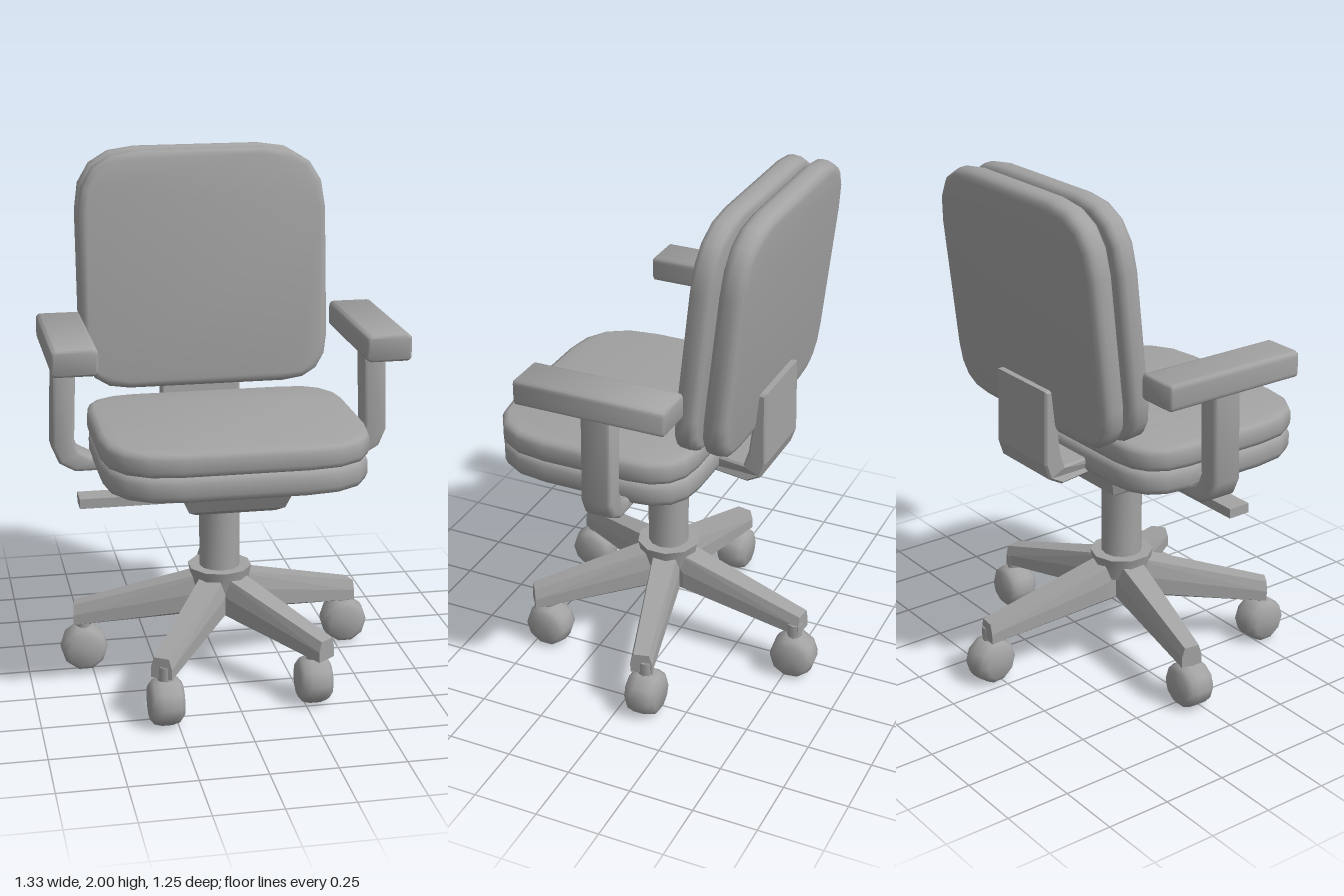
import * as THREE from 'three';
import { mergeVertices, toCreasedNormals } from 'three/addons/utils/BufferGeometryUtils.js';
import { ConvexGeometry } from 'three/addons/geometries/ConvexGeometry.js';

const grey = new THREE.MeshStandardMaterial({ color: 0xa3a3a3 });
grey.name = 'grey';

function smooth(geo, angle = 0.9) {
  geo.deleteAttribute('uv');
  geo.deleteAttribute('normal');
  return toCreasedNormals(mergeVertices(geo, 1e-4), angle);
}

function add(parent, name, geo, x = 0, y = 0, z = 0) {
  const mesh = new THREE.Mesh(geo, grey);
  mesh.name = name;
  mesh.position.set(x, y, z);
  parent.add(mesh);
  return mesh;
}

// Extrusion centred on its depth, bevel kept inside the outline
function slab(shape, depth, bevel, bevelSegments = 2) {
  const geo = new THREE.ExtrudeGeometry(shape, {
    depth: depth - 2 * bevel, bevelThickness: bevel, bevelSize: bevel,
    bevelOffset: -bevel, bevelSegments, curveSegments: 4,
  });
  geo.translate(0, 0, bevel - depth / 2);
  return smooth(geo);
}

// Rounded rectangle with different radii at the top and the bottom
function roundedShape(w, h, top, bottom) {
  const x = w / 2, y = h / 2, s = new THREE.Shape();
  s.moveTo(-x + bottom, -y);
  s.lineTo(x - bottom, -y);
  s.quadraticCurveTo(x, -y, x, -y + bottom);
  s.lineTo(x, y - top);
  s.quadraticCurveTo(x, y, x - top, y);
  s.lineTo(-x + top, y);
  s.quadraticCurveTo(-x, y, -x, y - top);
  s.lineTo(-x, -y + bottom);
  s.quadraticCurveTo(-x, -y, -x + bottom, -y);
  return s;
}

// Convex solid through rectangles [y, halfWidth, zMin, zMax]
function stacked(levels) {
  const pts = [];
  for (const [y, x, z0, z1] of levels)
    for (const sx of [-x, x]) for (const z of [z0, z1]) pts.push(new THREE.Vector3(sx, y, z));
  return new ConvexGeometry(pts);
}

// Leg from the hub centre to (x, z), narrowing and dropping outwards
function legGeometry(x, z, cz) {
  const dir = new THREE.Vector3(x, 0, z - cz).normalize();
  const side = new THREE.Vector3(dir.z, 0, -dir.x);
  const length = Math.hypot(x, z - cz);
  const pts = [];
  for (const [r, low, high, wLow, wHigh] of [
    [0, 0.25, 0.41, 0.05, 0.05], [0.1, 0.25, 0.39, 0.06, 0.045], [length, 0.185, 0.265, 0.042, 0.03],
  ]) {
    for (const s of [-1, 1]) {
      pts.push(dir.clone().multiplyScalar(r).addScaledVector(side, s * wLow).setY(low));
      pts.push(dir.clone().multiplyScalar(r).addScaledVector(side, s * wLow).setY((low + high) / 2));
      pts.push(dir.clone().multiplyScalar(r).addScaledVector(side, s * wHigh).setY(high));
    }
  }
  return new ConvexGeometry(pts).translate(0, 0, cz);
}

export function createModel() {
  const chair = new THREE.Group();
  chair.name = 'officeChair';
  const cz = 0.055; // centre of the column

  // Seat: cushion on a matching pan
  const seatShape = roundedShape(1, 0.815, 0.2, 0.27);
  const cushion = add(chair, 'seatCushion', slab(seatShape, 0.095, 0.025), 0, 1.013, 0.197);
  const pan = add(chair, 'seatPan', slab(roundedShape(0.99, 0.82, 0.2, 0.27), 0.105, 0.03), 0, 0.923, 0.195);
  cushion.rotation.x = pan.rotation.x = -Math.PI / 2;

  // Backrest: front cushion and rear shell, leaning back
  const backShape = roundedShape(0.97, 0.917, 0.24, 0.18);
  const front = add(chair, 'backCushion', slab(backShape, 0.085, 0.025), -0.005, 1.54, -0.258);
  const rear = add(chair, 'backShell', slab(backShape, 0.095, 0.035, 3), -0.005, 1.54, -0.37);
  front.rotation.x = rear.rotation.x = -0.108;

  // Bent bracket from under the seat up to the back shell
  const bend = new THREE.Shape([
    [0, 0.86], [0.34, 0.87], [0.395, 0.9], [0.415, 0.96], [0.41, 1.25],
    [0.375, 1.25], [0.345, 1.0], [0.325, 0.94], [0, 0.92],
  ].map(([x, y]) => new THREE.Vector2(x, y)));
  const bracket = slab(bend, 0.32, 0.008, 1);
  bracket.rotateY(Math.PI / 2);
  const p = bracket.attributes.position;
  for (let i = 0; i < p.count; i++) // narrows towards the mechanism
    p.setX(i, p.getX(i) * Math.min(1, 0.5 - p.getZ(i) * 1.5));
  bracket.computeVertexNormals();
  add(chair, 'backBracket', bracket);

  // Arms
  for (const s of [1, -1]) {
    const arm = new THREE.Group();
    arm.name = s > 0 ? 'leftArm' : 'rightArm';
    const post = new THREE.Shape([
      [0, 0.85], [0.56, 0.85], [0.62, 0.885], [0.648, 0.95], [0.637, 1.3],
      [0.55, 1.3], [0.562, 0.97], [0.545, 0.93], [0.5, 0.905], [0, 0.905],
    ].map(([x, y]) => new THREE.Vector2(x * s, y)));
    add(arm, 'armPost', slab(post, 0.12, 0.015), 0, 0, 0.045);
    const pad = slab(roundedShape(0.17, 0.1, 0.02, 0.02), 0.59, 0.008, 1);
    add(arm, 'armPad', pad, s * 0.58, 1.34, 0.06);
    chair.add(arm);
  }

  // Tilt mechanism and its lever
  add(chair, 'tiltMechanism', stacked([
    [0.75, 0.15, -0.09, 0.38], [0.77, 0.18, -0.12, 0.41], [0.83, 0.2, -0.14, 0.44], [0.89, 0.2, -0.14, 0.45],
  ]));
  add(chair, 'lever', new THREE.BoxGeometry(0.42, 0.038, 0.09), -0.35, 0.765, 0.18);

  // Column and hub
  add(chair, 'column', smooth(new THREE.CylinderGeometry(0.08, 0.08, 0.36, 12)), 0, 0.59, cz);
  add(chair, 'hub', smooth(new THREE.CylinderGeometry(0.125, 0.105, 0.09, 10), 0.7), 0, 0.38, cz);

  // Five legs: [leg end x, z, caster x, z, axle turn]
  const legs = [
    [0.06, -0.55, 0.08, -0.525, 0.12],
    [0.565, -0.09, 0.542, -0.1, Math.PI / 2],
    [-0.565, -0.04, -0.53, -0.02, Math.PI / 2],
    [0.325, 0.5, 0.288, 0.448, 0],
    [-0.31, 0.55, -0.292, 0.535, 0],
  ];
  const wheel = new THREE.LatheGeometry([
    [0, -0.063], [0.065, -0.063], [0.084, -0.048], [0.092, -0.02],
    [0.092, 0.02], [0.084, 0.048], [0.065, 0.063], [0, 0.063],
  ].map(([r, y]) => new THREE.Vector2(r, y)), 10);
  const wheelGeo = smooth(wheel, 0.8).rotateZ(Math.PI / 2);
  for (const [x, z, wx, wz, turn] of legs) {
    add(chair, 'baseLeg', legGeometry(x, z, cz));
    const caster = new THREE.Group();
    caster.name = 'caster';
    caster.position.set(wx, 0, wz);
    caster.rotation.y = turn;
    add(caster, 'wheel', wheelGeo, 0, 0.088, 0);
    add(caster, 'stem', new THREE.CylinderGeometry(0.03, 0.03, 0.08, 8), 0, 0.19, 0);
    chair.add(caster);
  }
  return chair;
}
